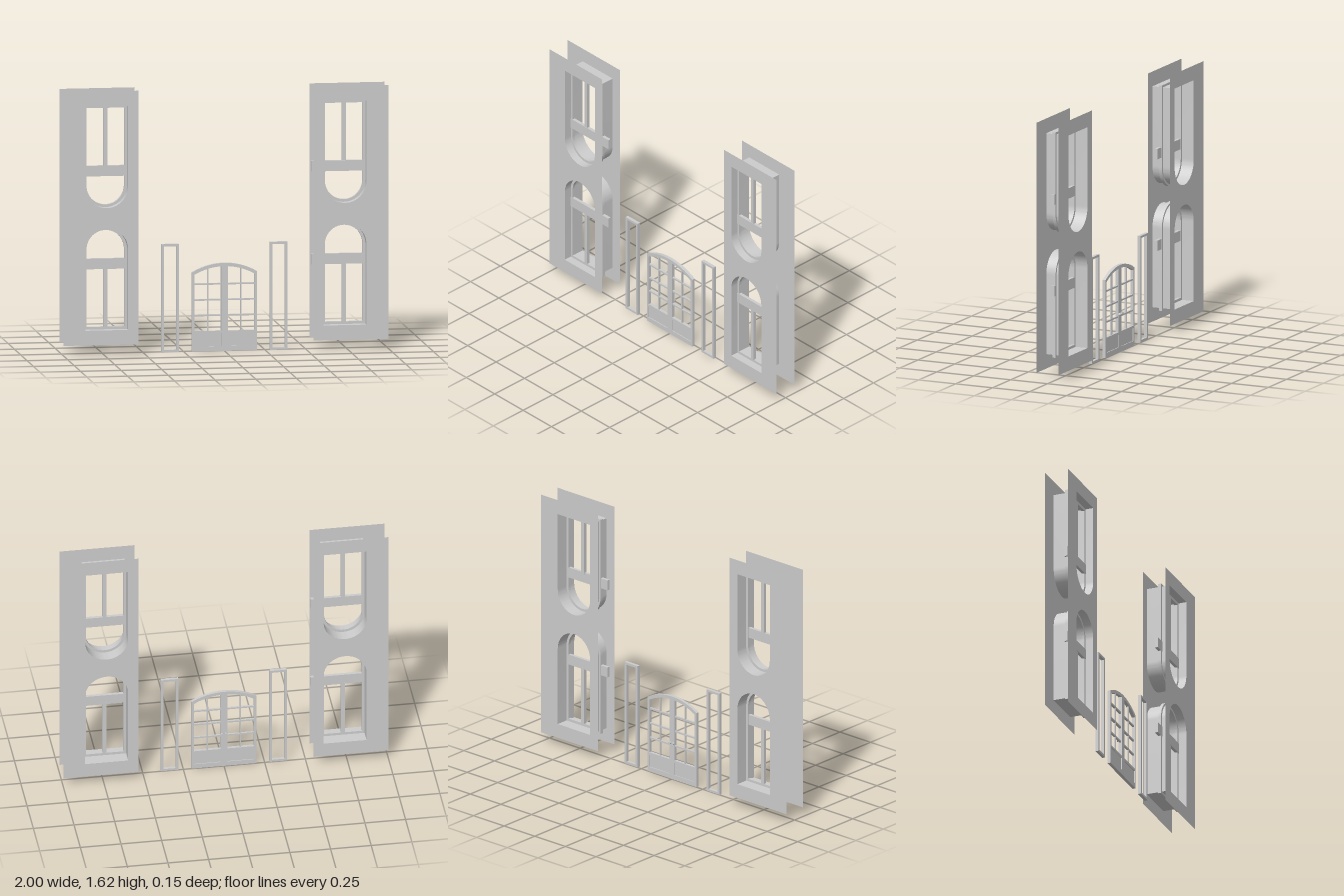
import * as THREE from 'three';
import { toCreasedNormals } from 'three/addons/utils/BufferGeometryUtils.js';

const grey = new THREE.MeshStandardMaterial({ color: 0xcccccc });
grey.name = 'plain grey';
grey.side = THREE.DoubleSide;

const MID_Y = 0.8375;   // the upper window is the lower one turned over about this height
const WALL_Z = 0.075;   // the two wall sheets stand at +/- this depth
const FRAME_Z = 0.005, FRAME_D = 0.02;

function add(parent, name, geometry, x = 0, y = 0, z = 0) {
  const mesh = new THREE.Mesh(geometry, grey);
  mesh.name = name;
  mesh.position.set(x, y, z);
  parent.add(mesh);
  return mesh;
}

// box given by its limits
function slab(parent, name, x0, x1, y0, y1, z0, z1) {
  return add(parent, name, new THREE.BoxGeometry(x1 - x0, y1 - y0, z1 - z0),
    (x0 + x1) / 2, (y0 + y1) / 2, (z0 + z1) / 2);
}

function rect(x0, x1, y0, y1) {
  return new THREE.Shape([[x0, y0], [x1, y0], [x1, y1], [x0, y1]].map(p => new THREE.Vector2(...p)));
}

// round-topped outline, relative to the window axis and MID_Y; inset shrinks it
function archOutline(inset) {
  const w = 0.132 - inset, bottom = 0.15 + inset - MID_Y, spring = 0.643 - MID_Y;
  const s = new THREE.Shape();
  s.moveTo(-w, bottom);
  s.lineTo(w, bottom);
  s.lineTo(w, spring);
  s.absarc(0, spring, w, 0, Math.PI, false);
  s.closePath();
  return s;
}

function extrude(shape, depth) {
  const g = new THREE.ExtrudeGeometry(shape, { depth, bevelEnabled: false, curveSegments: 24 });
  return toCreasedNormals(g, 0.5);
}

// open band following an outline through the wall
function ribbon(points, z0, z1) {
  const pos = [];
  points.forEach((a, i) => {
    const b = points[(i + 1) % points.length];
    if (a.distanceTo(b) < 1e-6) return;
    pos.push(a.x, a.y, z0, b.x, b.y, z1, b.x, b.y, z0);
    pos.push(a.x, a.y, z0, a.x, a.y, z1, b.x, b.y, z1);
  });
  const g = new THREE.BufferGeometry();
  g.setAttribute('position', new THREE.Float32BufferAttribute(pos, 3));
  g.computeVertexNormals();
  return toCreasedNormals(g, 0.5);
}

function makeWindow() {
  const g = new THREE.Group();
  add(g, 'windowReveal', ribbon(archOutline(0).getPoints(24), -WALL_Z, WALL_Z));
  const frame = archOutline(-0.014);
  frame.holes.push(archOutline(0.016));
  add(g, 'windowFrame', extrude(frame, FRAME_D), 0, 0, FRAME_Z);
  slab(g, 'windowMullion', -0.0125, 0.0125, 0.166 - MID_Y, 0.53 - MID_Y, FRAME_Z, FRAME_Z + FRAME_D);
  return g;
}

// one pair of wall sheets with two windows; side is +1 or -1
function makeTower(side) {
  const g = new THREE.Group();
  const axis = side * 0.733;
  const wall = rect(-0.231, 0.231, 0.06, 1.617);
  const wallX = side * 0.769;
  for (const turned of [1, -1]) {
    const pts = archOutline(0).getPoints(24)
      .map(p => new THREE.Vector2(p.x * turned + axis - wallX, p.y * turned + MID_Y));
    wall.holes.push(new THREE.Path(pts));

    const win = makeWindow();
    win.name = turned > 0 ? 'lowerWindow' : 'upperWindow';
    win.position.set(axis, MID_Y, 0);
    if (turned < 0) win.rotation.z = Math.PI;
    g.add(win);

    // cross rail reaching past the frame toward the door
    const rail = new THREE.BoxGeometry(0.36, 0.065, 0.02);
    add(g, 'windowRail', rail, side * 0.713, MID_Y - turned * 0.285, 0.017);
  }
  add(g, 'frontWall', new THREE.ShapeGeometry(wall), wallX, 0, WALL_Z);
  add(g, 'backWall', new THREE.ShapeGeometry(wall), wallX, 0, -WALL_Z);
  return g;
}

function makeDoor() {
  const g = new THREE.Group();
  const R = 0.391, cy = 0.149;   // arch circle
  const arcY = (x, r) => cy + Math.sqrt(r * r - x * x);
  const z0 = 0, z1 = 0.02;

  // outer frame of both leaves with glazed openings and lower panels
  const outline = new THREE.Shape();
  outline.moveTo(-0.2, 0);
  outline.lineTo(0.2, 0);
  for (let i = 0; i <= 24; i++) {
    const x = 0.2 - i * 0.4 / 24;
    outline.lineTo(x, arcY(x, R));
  }
  outline.closePath();
  for (const s of [-1, 1]) {
    const open = new THREE.Path();
    open.moveTo(s * 0.02, 0.125);
    open.lineTo(s * 0.185, 0.125);
    for (let i = 0; i <= 12; i++) {
      const x = 0.185 - i * 0.165 / 12;
      open.lineTo(s * x, arcY(x, R - 0.02));
    }
    open.closePath();
    const a = Math.min(s * 0.02, s * 0.185), b = Math.max(s * 0.02, s * 0.185);
    outline.holes.push(open, rect(a, b, 0.03, 0.11));
    slab(g, 'doorPanel', a, b, 0.03, 0.11, z0 + 0.005, z1 - 0.005);

    // glazing bars
    slab(g, 'verticalGlazingBar', s * 0.102 - 0.004, s * 0.102 + 0.004, 0.12, arcY(0.102, R - 0.015), 0.004, 0.016);
    for (const y of [0.22, 0.315, 0.412]) slab(g, 'glazingBar', a, b, y - 0.005, y + 0.005, 0.004, 0.016);

    // knob
    const knob = new THREE.CylinderGeometry(0.008, 0.008, 0.014, 16).rotateX(Math.PI / 2);
    add(g, 'doorKnob', knob, s * 0.012, 0.235, -0.006);
  }
  add(g, 'doorFrame', extrude(outline, z1 - z0), 0, 0, z0);
  return g;
}

function makeSidelight() {
  const s = rect(-0.053, 0.053, 0, 0.663);
  s.holes.push(rect(-0.038, 0.038, 0.014, 0.649));
  return new THREE.ExtrudeGeometry(s, { depth: 0.02, bevelEnabled: false });
}

export function createModel() {
  const model = new THREE.Group();
  model.name = 'facadeParts';
  for (const side of [-1, 1]) {
    const tower = makeTower(side);
    tower.name = side > 0 ? 'leftTower' : 'rightTower';
    model.add(tower);
    add(model, side > 0 ? 'leftSidelight' : 'rightSidelight', makeSidelight(), side * 0.334);
  }
  const door = makeDoor();
  door.name = 'doubleDoor';
  model.add(door);
  return model;
}
